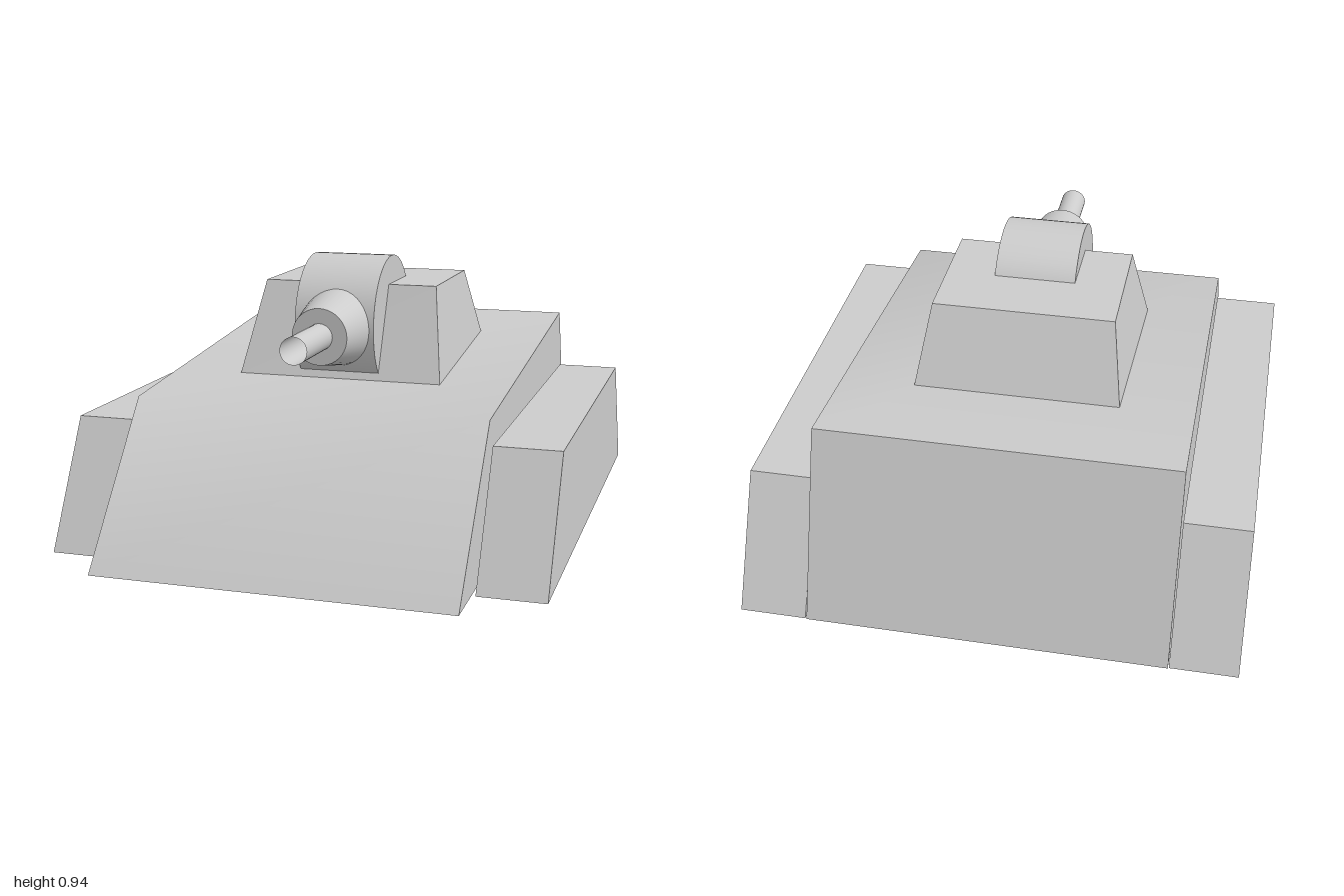
import * as THREE from 'three';
import { toCreasedNormals } from 'three/addons/utils/BufferGeometryUtils.js';

const CX = -0.003; // centre line of hull and turret
const GUN_Y = 0.71;

export function createModel() {
  const model = new THREE.Group();
  const grey = new THREE.MeshStandardMaterial({ color: 0xcccccc });
  const greyOpen = new THREE.MeshStandardMaterial({ color: 0xcccccc, side: THREE.DoubleSide });

  const add = (name, geometry, x, y, z, parent = model, material = grey) => {
    const mesh = new THREE.Mesh(geometry, material);
    mesh.name = name;
    mesh.position.set(x, y, z);
    parent.add(mesh);
    return mesh;
  };

  // Side profile of [z, y] points, extruded across x and centred
  const slab = (profile, width) => {
    const shape = new THREE.Shape(profile.map(([z, y]) => new THREE.Vector2(z, y)));
    return new THREE.ExtrudeGeometry(shape, { depth: width, bevelEnabled: false })
      .translate(0, 0, -width / 2)
      .rotateY(-Math.PI / 2);
  };

  // Hull: sloped nose blends softly into the deck, other edges stay sharp
  const hull = slab([[1, 0.008], [0.595, 0.5], [-0.77, 0.625], [-1, 0.008]], 1.195);
  add('hull', toCreasedNormals(hull, THREE.MathUtils.degToRad(55)), CX, 0, 0);

  // Track guards on both sides
  const guard = [[0.81, 0], [0.585, 0.415], [-0.765, 0.415], [-0.99, 0]];
  for (const side of [1, -1]) {
    add(side > 0 ? 'leftTrackGuard' : 'rightTrackGuard', slab(guard, 0.222), side * 0.714, 0, 0);
  }

  // Turret: base follows the deck slope, sides narrow with height
  const turret = new THREE.Group();
  turret.name = 'turret';
  model.add(turret);
  const base = slab([[0.27, 0.53], [0.13, 0.843], [-0.31, 0.843], [-0.44, 0.595]], 2);
  const p = base.attributes.position;
  for (let i = 0; i < p.count; i++) {
    p.setX(i, p.getX(i) * (0.358 - (p.getY(i) - 0.53) * 0.16));
  }
  base.computeVertexNormals();
  add('turretBase', base, CX, 0, 0, turret);

  // Round gun mantlet lying across the turret
  const mantlet = new THREE.CylinderGeometry(0.23, 0.23, 0.279, 48).rotateZ(Math.PI / 2);
  add('gunMantlet', mantlet, CX, GUN_Y, 0.09, turret);

  // Tapered collar and open barrel, pointing forward
  const collar = new THREE.CylinderGeometry(0.095, 0.135, 0.215, 40).rotateX(Math.PI / 2);
  add('gunCollar', collar, CX, GUN_Y, 0.3675, turret);
  const barrel = new THREE.CylinderGeometry(0.045, 0.045, 0.26, 32, 1, true).rotateX(Math.PI / 2);
  add('gunBarrel', barrel, CX, GUN_Y, 0.602, turret, greyOpen);

  return model;
}
